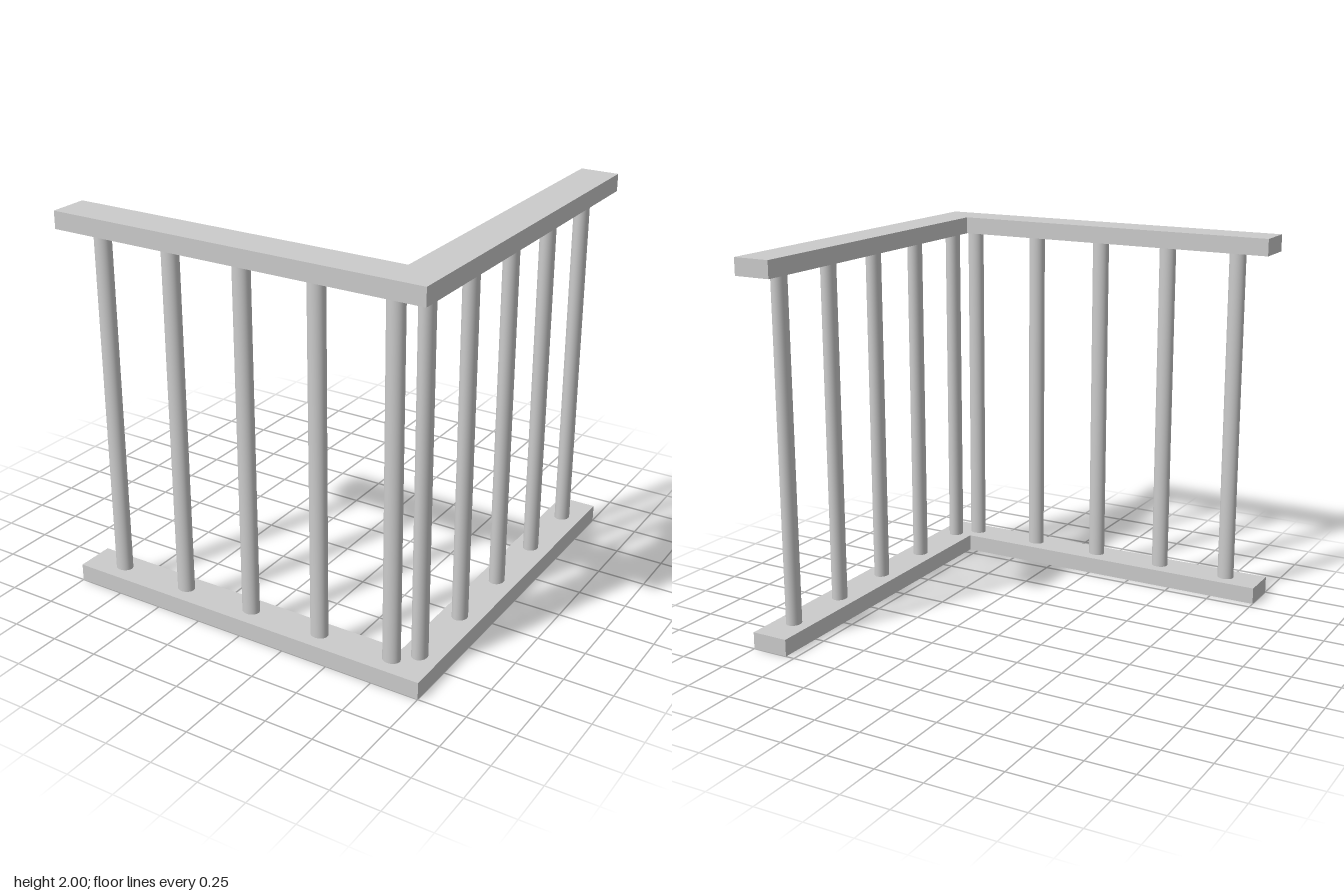
import * as THREE from 'three';

const RAIL_H = 0.09, HEIGHT = 2, RAIL_W = 0.2;

export function createModel() {
  const group = new THREE.Group();
  const material = new THREE.MeshStandardMaterial({ color: 0xcccccc });

  // L-shaped rail outline, drawn in (x, -z) and extruded upwards
  const inner = 1 - RAIL_W;
  const outline = new THREE.Shape([
    [-1, -1], [1, -1], [1, 1], [inner, 1], [inner, -inner], [-1, -inner],
  ].map(([x, y]) => new THREE.Vector2(x, y)));
  const railGeometry = new THREE.ExtrudeGeometry(outline, { depth: RAIL_H, bevelEnabled: false });
  railGeometry.rotateX(-Math.PI / 2);

  for (const [name, y] of [['bottomRail', 0], ['topRail', HEIGHT - RAIL_H]]) {
    const rail = new THREE.Mesh(railGeometry, material);
    rail.name = name;
    rail.position.y = y;
    group.add(rail);
  }

  // Slightly oval posts, wider along the rail than across it
  const postGeometry = new THREE.CylinderGeometry(1, 1, HEIGHT - 2 * RAIL_H, 32);
  postGeometry.scale(0.045, 1, 0.039);

  const addPost = (name, x, z, turn) => {
    const post = new THREE.Mesh(postGeometry, material);
    post.name = name;
    post.position.set(x, HEIGHT / 2, z);
    post.rotation.y = turn;
    group.add(post);
  };

  // Five posts along the front and five along the left side
  for (let i = 0; i < 5; i++) {
    const t = -0.8 + i * 0.4;
    addPost(`frontPost${i + 1}`, t, 0.897, 0);
    addPost(`sidePost${i + 1}`, 0.897, t, Math.PI / 2);
  }
  return group;
}
